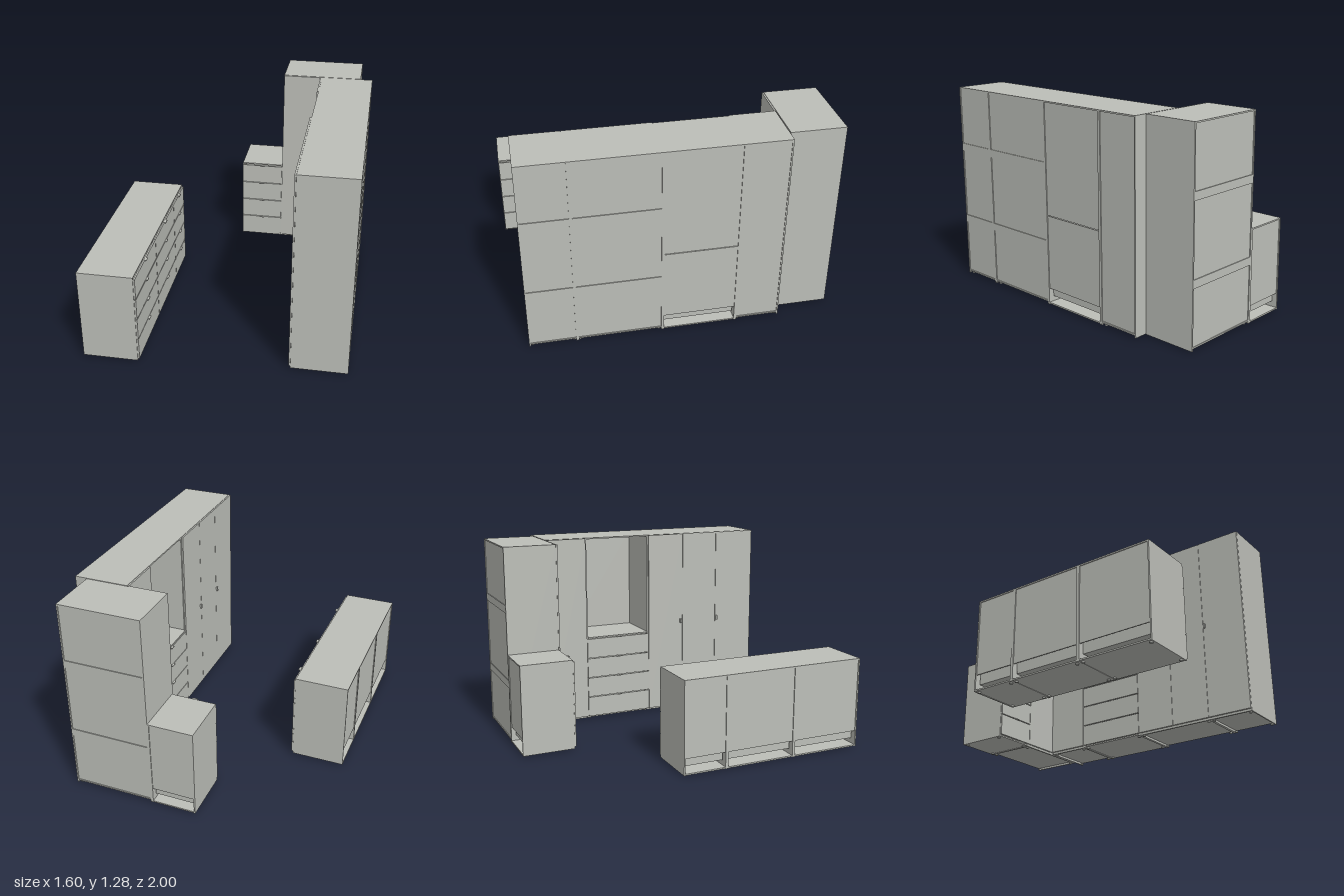
import * as THREE from 'three';

const paint = new THREE.MeshStandardMaterial({ color: 0xbcbeb8 });
paint.name = 'warm grey lacquer';
const T = 0.009; // board thickness

// Box given by its min and max corners
function board(parent, name, x0, x1, y0, y1, z0, z1) {
  const m = new THREE.Mesh(new THREE.BoxGeometry(x1 - x0, y1 - y0, z1 - z0), paint);
  m.position.set((x0 + x1) / 2, (y0 + y1) / 2, (z0 + z1) / 2);
  m.name = name;
  parent.add(m);
  return m;
}

// Small feet under the corners; local front is +z at z = 0, back at z = -d
function feet(g, w, d) {
  for (const x of [0.02, w - 0.02]) for (const z of [-0.025, -d + 0.025]) {
    const f = new THREE.Mesh(new THREE.CylinderGeometry(0.01, 0.01, 0.01, 12), paint);
    f.position.set(x, 0.005, z);
    f.name = 'foot';
    g.add(f);
  }
}

// Hollow carcass with a recessed back made of panels [y0, y1]
function carcass(g, w, h, d, panels, rails, floorY) {
  board(g, 'side', 0, T, 0.006, h, -d, 0);
  board(g, 'side', w - T, w, 0.006, h, -d, 0);
  board(g, 'top', T, w - T, h - T, h, -d, 0);
  board(g, 'floor', T, w - T, floorY, floorY + T, -d, 0);
  for (const [y0, y1] of panels) board(g, 'backPanel', T, w - T, y0, y1, -d + 0.005, -d + 0.011);
  for (const [y0, y1] of rails) board(g, 'backRail', T, w - T, y0, y1, -d, -d + 0.02);
  feet(g, w, d);
}

// Four drawer fronts with tab pulls on their top edges
function drawers(g, w, d) {
  const tops = [0.16, 0.30, 0.44, 0.58];
  tops.forEach((top, i) => {
    const y0 = i ? tops[i - 1] + 0.003 : 0.02;
    board(g, 'drawerFront', 0.002, w - 0.002, y0, top - 0.002, 0.001, 0.011);
    board(g, 'drawerPull', w / 2 - 0.017, w / 2 + 0.017, top - 0.004, top + 0.001, 0.008, 0.023);
    board(g, 'drawerBox', 0.015, w - 0.015, y0 + 0.035, top - 0.03, -d + 0.03, 0);
  });
}

// Low drawer unit, back open along the floor
function drawerUnit(w, d) {
  const g = new THREE.Group();
  g.name = 'drawerUnit';
  carcass(g, w, 0.59, d, [[0.11, 0.581]], [], 0.008);
  drawers(g, w, d);
  return g;
}

// Tall wardrobe; doors is a list of [x0, x1, handleX]
function wardrobe(w, d, doors, split = true) {
  const g = new THREE.Group();
  g.name = 'wardrobe';
  const panels = split ? [[0.02, 0.37], [0.42, 0.86], [0.91, 1.272]] : [[0.03, 1.272]];
  const rails = split ? [[0.37, 0.42], [0.86, 0.91]] : [];
  carcass(g, w, 1.28, d, panels, rails, 0.02);
  board(g, 'plinth', T, w - T, 0.006, 0.02, -0.015, -0.003);
  for (const [x0, x1, hx] of doors) {
    board(g, 'door', x0 + 0.001, x1 - 0.001, 0.02, 1.278, 0.001, 0.011);
    if (hx !== undefined) board(g, 'doorHandle', hx - 0.006, hx + 0.006, 0.635, 0.665, 0.01, 0.022);
  }
  return g;
}

// Drawer unit below an open niche
function nicheUnit(w, d) {
  const g = new THREE.Group();
  g.name = 'nicheUnit';
  carcass(g, w, 1.28, d, [[0.11, 0.577], [0.583, 1.272]], [], 0.01);
  board(g, 'nicheShelf', T, w - T, 0.581, 0.59, -d + 0.006, 0.008);
  drawers(g, w, d);
  return g;
}

export function createModel() {
  const root = new THREE.Group();
  root.name = 'bedroomStorage';
  const place = (g, x, z, turn) => {
    g.position.set(x, 0, z);
    g.rotation.y = turn;
    root.add(g);
  };
  const Q = Math.PI / 2;

  // Long low chest, drawers facing +x
  for (const [z0, z1] of [[-0.225, 0.06], [0.06, 0.53], [0.53, 1.0]])
    place(drawerUnit(z1 - z0, 0.339), -0.461, z1, Q);

  // Tall row along +x, facing -x
  const X = 0.451, D = 0.344;
  place(wardrobe(0.28, D, [[0, 0.28]], false), X, -0.655, -Q);
  place(nicheUnit(0.465, D), X, -0.375, -Q);
  place(wardrobe(0.53, D, [[0, 0.265, 0.25], [0.265, 0.53]]), X, 0.09, -Q);
  place(wardrobe(0.295, D, [[0, 0.295, 0.012]]), X, 0.62, -Q);

  // Corner wardrobe and small chest, facing +z
  place(wardrobe(0.525, 0.339, [[0, 0.25, 0.24]]), 0.19, -0.661, 0);
  place(drawerUnit(0.29, 0.339), -0.1, -0.661, 0);
  return root;
}
